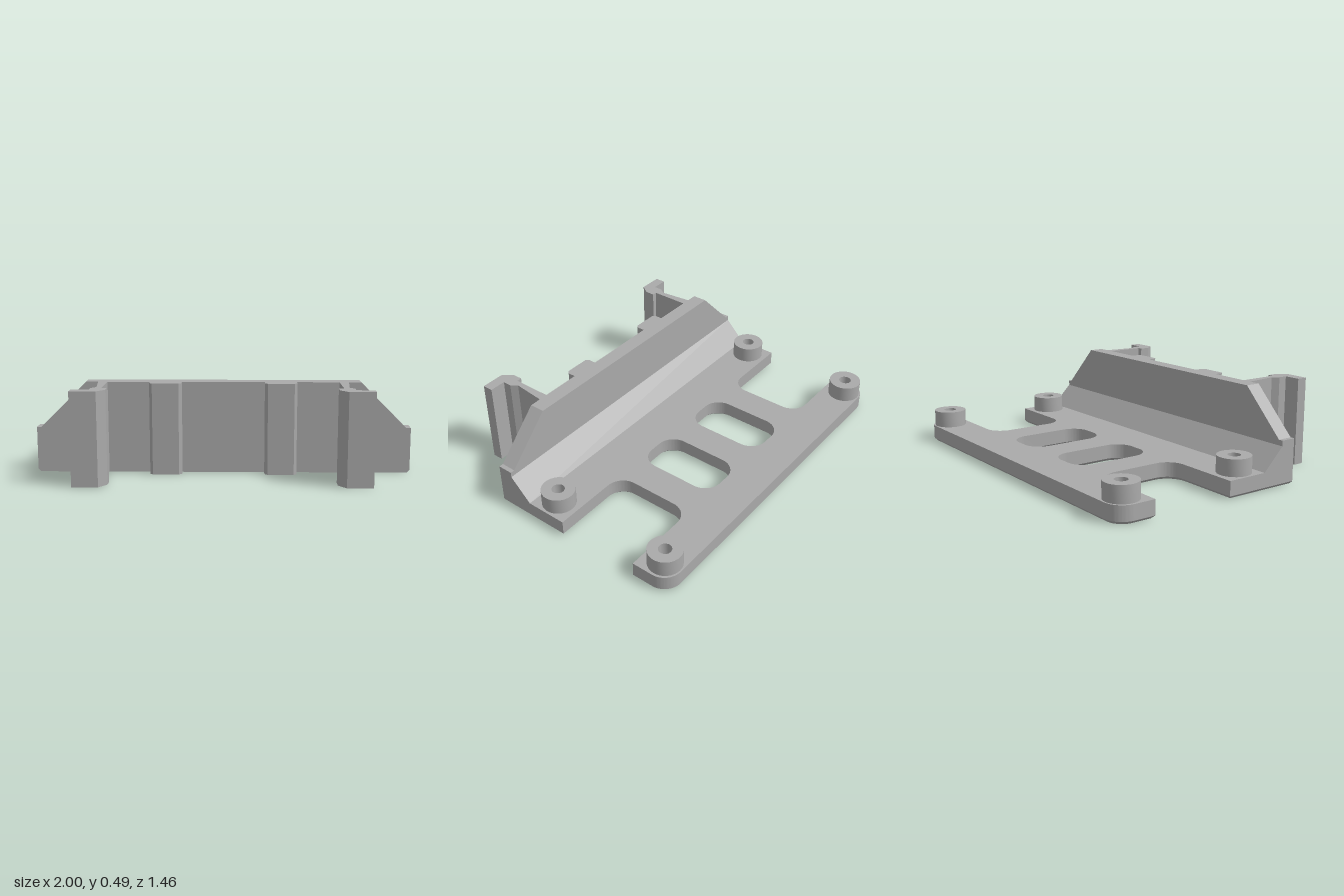
import * as THREE from 'three';
import { toCreasedNormals } from 'three/addons/utils/BufferGeometryUtils.js';

const grey = new THREE.MeshStandardMaterial({ color: 0xaaaaaa });
grey.name = 'grey';

const PLATE_TOP = 0.095, TOP = 0.49, FRONT = 0.4, BEVEL = 0.015;
const HOLE_R = 0.035, BOSS_R = 0.092;
const screws = [[-0.895, -0.63], [0.895, -0.63], [-0.895, 0.08], [0.895, 0.08]];

function add(group, name, geometry) {
  const mesh = new THREE.Mesh(geometry, grey);
  mesh.name = name;
  group.add(mesh);
  return mesh;
}

const polygon = (pts) => new THREE.Shape(pts.map(([x, y]) => new THREE.Vector2(x, y)));

const circle = (x, y, r) => new THREE.Path().absarc(x, y, r, 0, Math.PI * 2, true);

// Extrudes a plan outline (x, -z) upward from y0 to y1
function upright(shape, y0, y1) {
  const g = new THREE.ExtrudeGeometry(shape, { depth: y1 - y0, bevelEnabled: false, curveSegments: 16 });
  return toCreasedNormals(g.rotateX(-Math.PI / 2).translate(0, y0, 0), 0.5);
}

function roundedSlot(x0, x1, y0, y1, r) {
  const p = new THREE.Path(), h = Math.PI / 2;
  p.absarc(x0 + r, y0 + r, r, 2 * h, 3 * h);
  p.absarc(x1 - r, y0 + r, r, 3 * h, 4 * h);
  p.absarc(x1 - r, y1 - r, r, 0, h);
  p.absarc(x0 + r, y1 - r, r, h, 2 * h);
  return p;
}

// Base plate with filleted neck, two slots and a chamfer along its lower edges
function plateGeometry() {
  const s = new THREE.Shape(), h = Math.PI / 2;
  s.moveTo(-1, -FRONT - BEVEL);
  s.lineTo(1, -FRONT - BEVEL);
  s.lineTo(1, 0.04);
  s.absarc(0.64, 0.14, 0.1, -h, -2 * h, true);
  s.absarc(0.64, 0.41, 0.1, 2 * h, h, true);
  s.lineTo(1, 0.51);
  s.absarc(0.9, 0.63, 0.1, 0, h);
  s.absarc(-0.9, 0.63, 0.1, h, 2 * h);
  s.lineTo(-1, 0.51);
  s.absarc(-0.64, 0.41, 0.1, h, 0, true);
  s.absarc(-0.64, 0.14, 0.1, 0, -h, true);
  s.lineTo(-1, 0.04);
  s.holes.push(roundedSlot(0.09, 0.36, 0.04, 0.51, 0.1), roundedSlot(-0.36, -0.09, 0.04, 0.51, 0.1));
  for (const [x, z] of screws) s.holes.push(circle(x, -z, HOLE_R));

  const g = new THREE.ExtrudeGeometry(s, {
    depth: PLATE_TOP - BEVEL, curveSegments: 12, bevelSegments: 1,
    bevelSize: BEVEL, bevelThickness: BEVEL, bevelOffset: -BEVEL,
  });
  g.rotateX(-Math.PI / 2).translate(0, BEVEL, 0);

  // Flatten the upper bevel and the front edge, and keep screw holes straight
  const p = g.attributes.position;
  for (let i = 0; i < p.count; i++) {
    let x = p.getX(i), z = Math.min(p.getZ(i), FRONT);
    for (const [cx, cz] of screws) {
      const d = Math.hypot(x - cx, z - cz);
      if (d < 0.06) {
        x = cx + (x - cx) * HOLE_R / d;
        z = cz + (z - cz) * HOLE_R / d;
      }
    }
    p.setXYZ(i, x, Math.min(p.getY(i), PLATE_TOP), z);
  }
  g.computeVertexNormals();
  return toCreasedNormals(g, 0.5);
}

export function createModel() {
  const model = new THREE.Group();
  model.name = 'mountingBracket';

  add(model, 'basePlate', plateGeometry());

  // Hollow screw bosses
  for (const [x, z] of screws) {
    const ring = new THREE.Shape().absarc(0, 0, BOSS_R, 0, Math.PI * 2);
    ring.holes.push(circle(0, 0, HOLE_R));
    add(model, 'screwBoss', upright(ring, PLATE_TOP, 0.187)).position.set(x, 0, z);
  }

  // Front wall with sloped shoulders
  const wall = polygon([
    [-1, PLATE_TOP], [1, PLATE_TOP], [1, 0.245], [0.975, 0.245], [0.73, TOP],
    [-0.73, TOP], [-0.975, 0.245], [-1, 0.245],
  ]);
  const wallGeometry = new THREE.ExtrudeGeometry(wall, { depth: 0.085, bevelEnabled: false });
  add(model, 'frontWall', wallGeometry.translate(0, 0, FRONT - 0.085));

  // Full-width sloped brace behind the wall, its section drawn in (-z, y)
  const brace = polygon([[-0.315, PLATE_TOP], [-0.195, PLATE_TOP], [-0.315, 0.215]]);
  const braceGeometry = new THREE.ExtrudeGeometry(brace, { depth: 2, bevelEnabled: false });
  add(model, 'wallBrace', braceGeometry.rotateY(Math.PI / 2).translate(-1, 0, 0));

  // Spacer ribs and hooked clips, mirrored; outlines are (x, z)
  const rib = [[0.22, 0.4], [0.22, 0.445], [0.235, 0.46], [0.375, 0.46], [0.39, 0.445], [0.39, 0.4]];
  const clip = [
    [0.615, 0.4], [0.665, 0.4], [0.645, 0.585], [0.67, 0.62], [0.67, 0.67], [0.763, 0.67],
    [0.763, 0.73], [0.627, 0.73], [0.587, 0.675], [0.587, 0.62], [0.615, 0.62],
  ];
  for (const side of [-1, 1]) {
    const plan = (pts) => polygon(pts.map(([x, z]) => [side * x, -z]));
    add(model, side > 0 ? 'leftRib' : 'rightRib', upright(plan(rib), 0, TOP));
    add(model, side > 0 ? 'leftClip' : 'rightClip', upright(plan(clip), 0, TOP));
  }
  return model;
}
